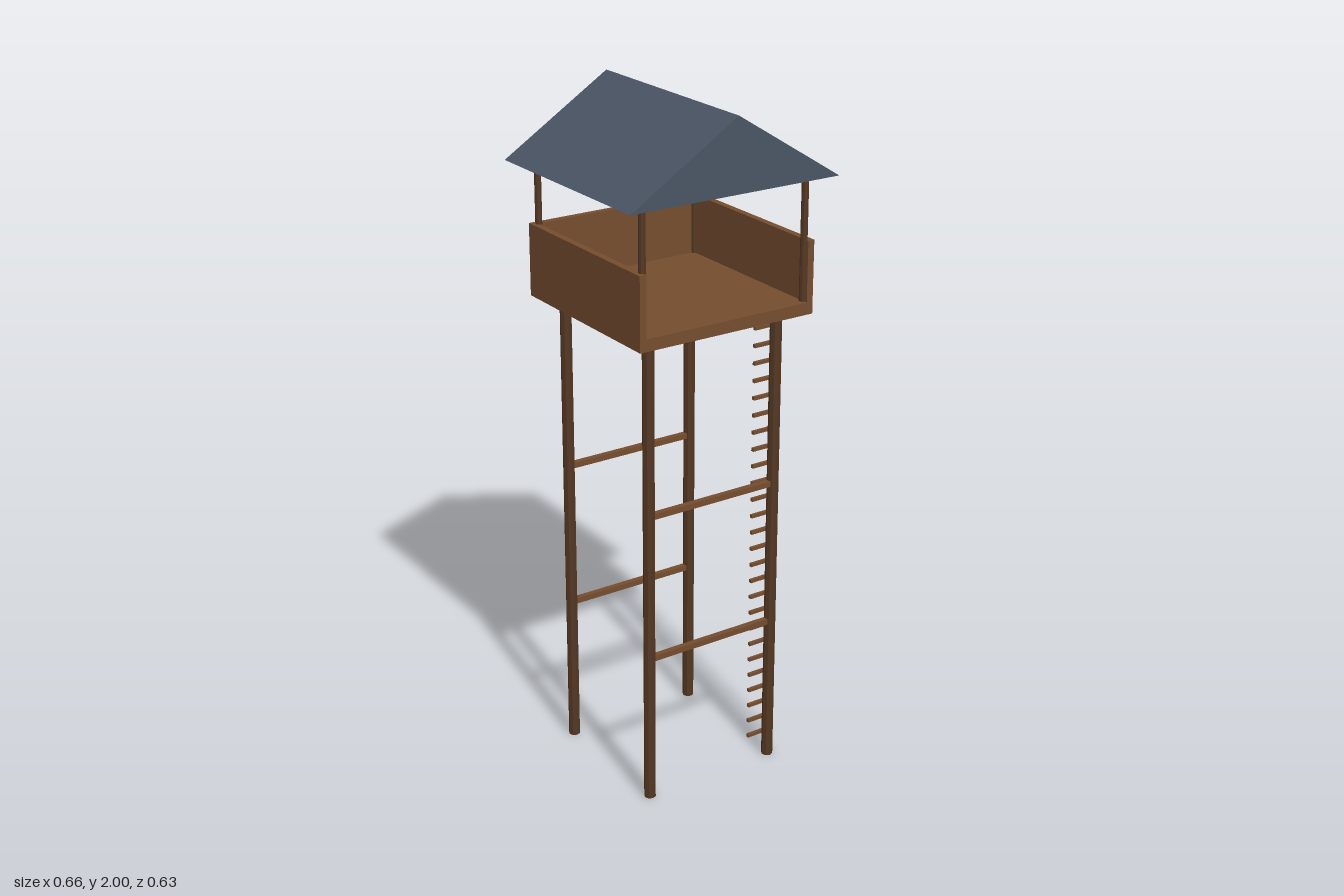
import * as THREE from 'three';

export function createModel() {
  const tower = new THREE.Group();
  tower.name = 'watchtower';

  const darkWood = new THREE.MeshStandardMaterial({ color: 0x543722 });
  const plankWood = new THREE.MeshStandardMaterial({ color: 0x744d2e });
  const slate = new THREE.MeshStandardMaterial({ color: 0x4a5464 });
  darkWood.name = 'darkWood';
  plankWood.name = 'plankWood';
  slate.name = 'slate';
  darkWood.flatShading = true;

  const add = (name, geometry, material, x, y, z) => {
    const mesh = new THREE.Mesh(geometry, material);
    mesh.name = name;
    mesh.position.set(x, y, z);
    tower.add(mesh);
    return mesh;
  };
  const box = (name, w, h, d, material, x, y, z) =>
    add(name, new THREE.BoxGeometry(w, h, d), material, x, y, z);

  // Four legs, and four posts that carry the roof
  for (const sx of [-1, 1]) {
    for (const sz of [-1, 1]) {
      add('leg', new THREE.CylinderGeometry(0.017, 0.017, 1.41, 8), darkWood, sx * 0.21, 0.705, sz * 0.21);
      add('roofPost', new THREE.CylinderGeometry(0.01, 0.01, 0.36, 8), darkWood, sx * 0.26, 1.615, sz * 0.26);
    }
  }

  // Cross beams on the front and back leg pairs
  for (const z of [-0.21, 0.21]) {
    for (const y of [0.452, 0.892]) box('crossBeam', 0.42, 0.017, 0.017, plankWood, 0, y, z);
  }

  // Ladder rungs beside the left legs
  const rungs = 26;
  for (let i = 0; i < rungs; i++) {
    box('ladderRung', 0.086, 0.01, 0.01, plankWood, 0.255, 0.006 + i * 0.0527, 0.108);
  }

  // Platform with three walls, open at the front
  box('floor', 0.56, 0.035, 0.56, plankWood, 0, 1.4225, 0);
  box('backWall', 0.56, 0.175, 0.02, plankWood, 0, 1.5275, -0.27);
  for (const s of [-1, 1]) box('sideWall', 0.02, 0.175, 0.54, plankWood, s * 0.27, 1.5275, 0.01);

  // Solid gabled roof with the ridge running front to back
  const gable = new THREE.Shape([
    new THREE.Vector2(-0.33, 0),
    new THREE.Vector2(0.33, 0),
    new THREE.Vector2(0, 0.207),
  ]);
  const roof = new THREE.ExtrudeGeometry(gable, { depth: 0.63, bevelEnabled: false });
  add('roof', roof, slate, 0, 1.793, -0.315);

  return tower;
}
